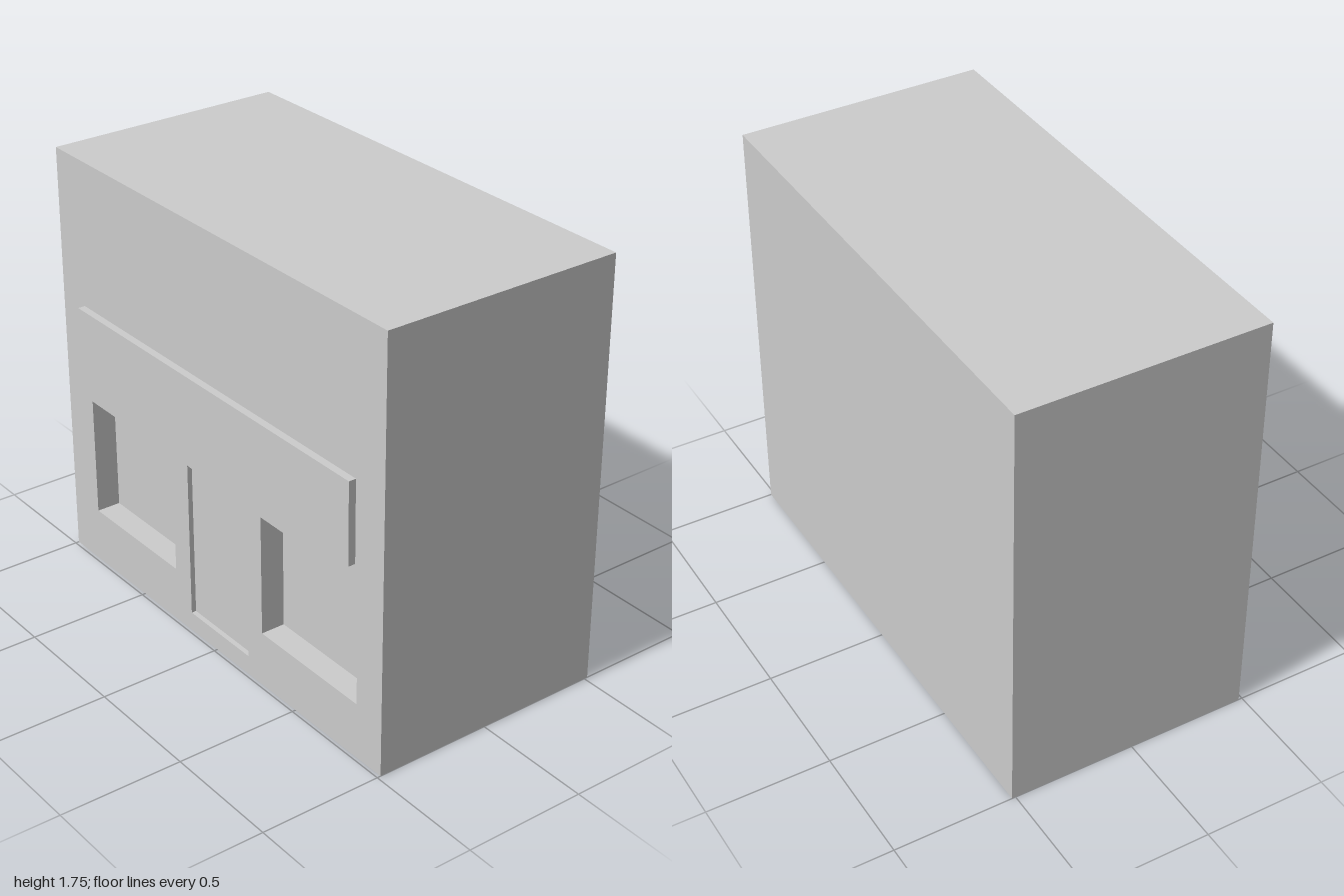
import * as THREE from 'three';

const BACK = -0.515, FRONT = 0.485, HEIGHT = 1.75;

// Openings in the front wall: x range, y range, depth
const OPENINGS = [
  { name: 'rightWindowRecess', x0: -0.83, x1: -0.27, y0: 0.23, y1: 0.73, depth: 0.1 },
  { name: 'leftWindowRecess', x0: 0.295, x1: 0.86, y0: 0.23, y1: 0.73, depth: 0.1 },
  { name: 'doorRecess', x0: -0.17, x1: 0.205, y0: 0.08, y1: 0.735, depth: 0.02 },
];

// Box between two corners, optionally without its +z face
function boxBetween(x0, x1, y0, y1, z0, z1, openFront = false) {
  const geo = new THREE.BoxGeometry(x1 - x0, y1 - y0, z1 - z0);
  geo.translate((x0 + x1) / 2, (y0 + y1) / 2, (z0 + z1) / 2);
  if (openFront) {
    const index = Array.from(geo.index.array);
    index.splice(24, 6);
    geo.setIndex(index);
    geo.clearGroups();
  }
  return geo;
}

function rectangle(path, x0, x1, y0, y1) {
  path.moveTo(x0, y0);
  path.lineTo(x1, y0);
  path.lineTo(x1, y1);
  path.lineTo(x0, y1);
  path.closePath();
  return path;
}

export function createModel() {
  const group = new THREE.Group();
  group.name = 'shopBuilding';
  const grey = new THREE.MeshStandardMaterial({ color: 0xcccccc });
  const inward = new THREE.MeshStandardMaterial({ color: 0xcccccc, side: THREE.BackSide });

  const add = (name, geometry, material = grey) => {
    const mesh = new THREE.Mesh(geometry, material);
    mesh.name = name;
    group.add(mesh);
  };

  // Sides, back, roof and base
  add('buildingShell', boxBetween(-1, 1, 0, HEIGHT, BACK, FRONT, true));

  // Front wall pierced by the windows and door
  const wall = rectangle(new THREE.Shape(), -1, 1, 0, HEIGHT);
  for (const o of OPENINGS) wall.holes.push(rectangle(new THREE.Path(), o.x0, o.x1, o.y0, o.y1));
  add('frontWall', new THREE.ShapeGeometry(wall).translate(0, 0, FRONT));

  // Recesses seen from the inside: reveals plus pane or door face
  for (const o of OPENINGS) {
    add(o.name, boxBetween(o.x0, o.x1, o.y0, o.y1, FRONT - o.depth, FRONT, true), inward);
  }

  // Raised sign board above the shop front
  add('signBoard', boxBetween(-0.85, 0.845, 0.805, 1.14, FRONT, 0.515));

  return group;
}
